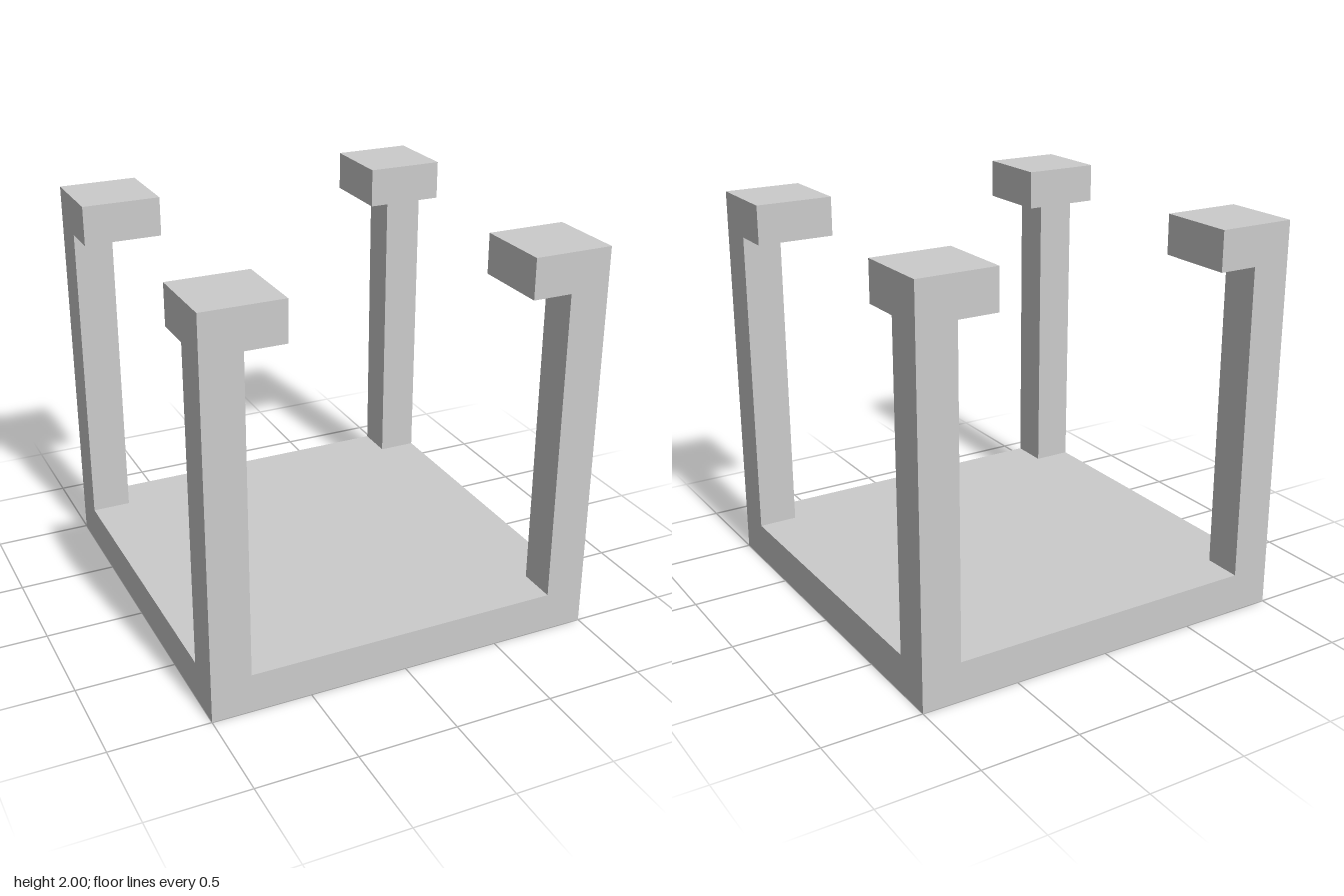
import * as THREE from 'three';

const material = new THREE.MeshStandardMaterial({ color: 0xcccccc, flatShading: true });

// Box placed by the centre of its underside
function box(name, [w, h, d], [x, y, z]) {
  const mesh = new THREE.Mesh(new THREE.BoxGeometry(w, h, d), material);
  mesh.name = name;
  mesh.position.set(x, y + h / 2, z);
  return mesh;
}

export function createModel() {
  const model = new THREE.Group();
  model.name = 'openFrame';

  // Square floor slab
  model.add(box('base', [2, 0.2, 2], [0, 0, 0]));

  // Four corner posts, each with a square cap reaching inward
  for (const [sx, left] of [[1, 'Left'], [-1, 'Right']]) {
    for (const [sz, front] of [[1, 'front'], [-1, 'back']]) {
      const corner = new THREE.Group();
      corner.name = `${front}${left}Corner`;
      corner.add(
        box('post', [0.2, 1.6, 0.2], [sx * 0.9, 0.2, sz * 0.9]),
        box('cap', [0.4, 0.2, 0.4], [sx * 0.8, 1.8, sz * 0.8])
      );
      model.add(corner);
    }
  }
  return model;
}
